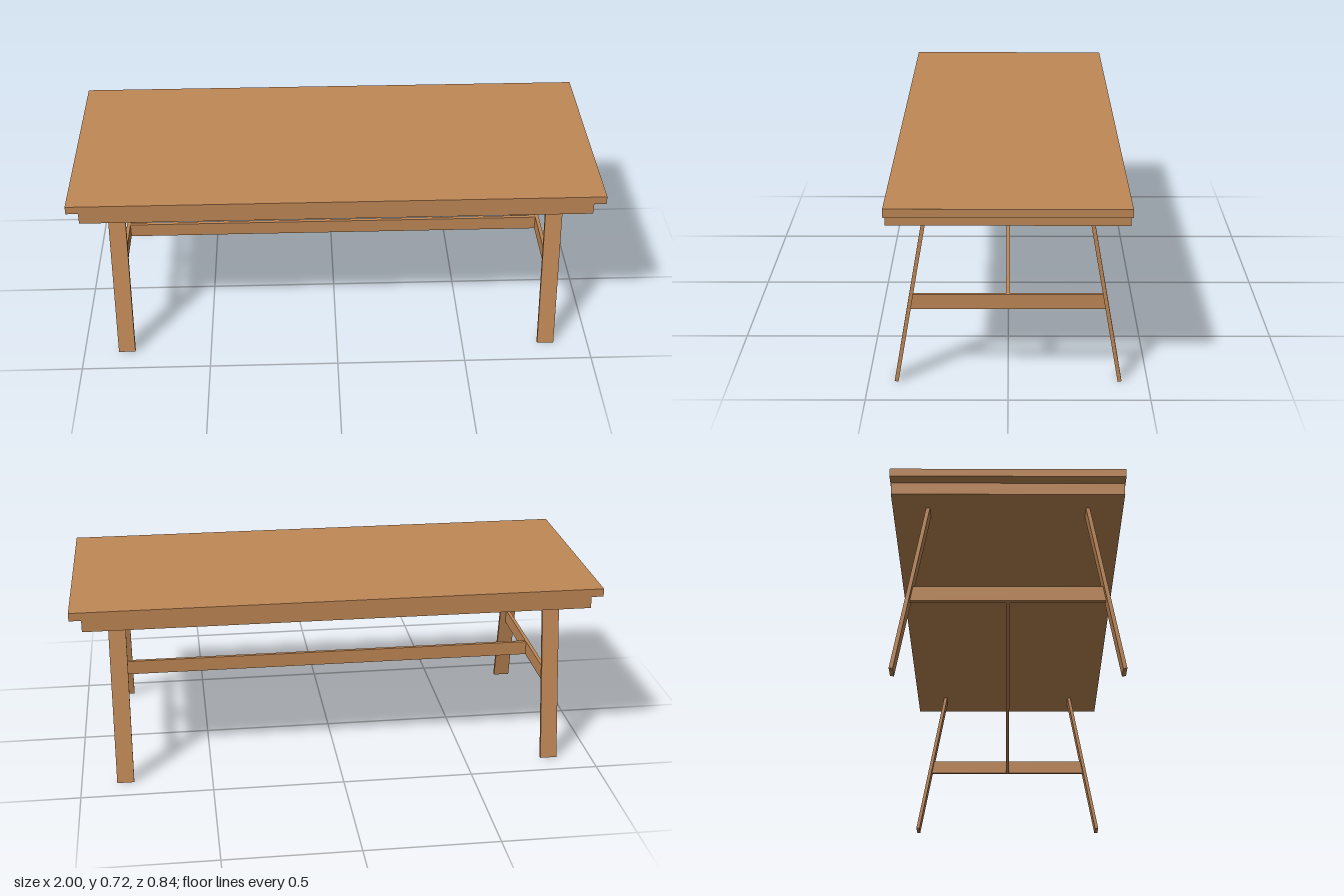
import * as THREE from 'three';

export function createModel() {
  const group = new THREE.Group();
  const wood = new THREE.MeshStandardMaterial({ color: 0xc08856 });
  wood.name = 'warm wood';

  function board(name, w, h, d, x, y, z) {
    const mesh = new THREE.Mesh(new THREE.BoxGeometry(w, h, d), wood);
    mesh.name = name;
    mesh.position.set(x, y, z);
    group.add(mesh);
    return mesh;
  }

  // Top plank with a slightly inset slab underneath
  board('tableTop', 2, 0.031, 0.836, 0, 0.7015, 0);
  board('apron', 1.91, 0.046, 0.83, 0, 0.663, 0);

  // Splayed plank legs, tucked just into the apron
  const legX = 0.8325, tilt = THREE.MathUtils.degToRad(10);
  const legLength = 0.66, thick = 0.014;
  for (const sx of [-1, 1]) {
    for (const sz of [-1, 1]) {
      const y = 0.0012 + Math.cos(tilt) * legLength / 2;
      const z = 0.4 - Math.sin(tilt) * legLength / 2;
      const leg = board('leg', 0.065, legLength, thick, sx * legX, y, sz * z);
      leg.rotation.x = -sz * tilt;
    }

    // Cross rail with ends slanted to meet the legs
    const rail = board('crossRail', thick, 0.056, 0.68, sx * legX, 0.304, 0);
    const p = rail.geometry.attributes.position;
    for (let i = 0; i < p.count; i++) {
      p.setZ(i, Math.sign(p.getZ(i)) * (0.343 - Math.tan(tilt) * p.getY(i)));
    }
    rail.geometry.computeVertexNormals();
  }

  // Long rail joining the two cross rails
  board('longRail', 2 * legX - thick, 0.056, thick, 0, 0.304, 0);

  return group;
}
